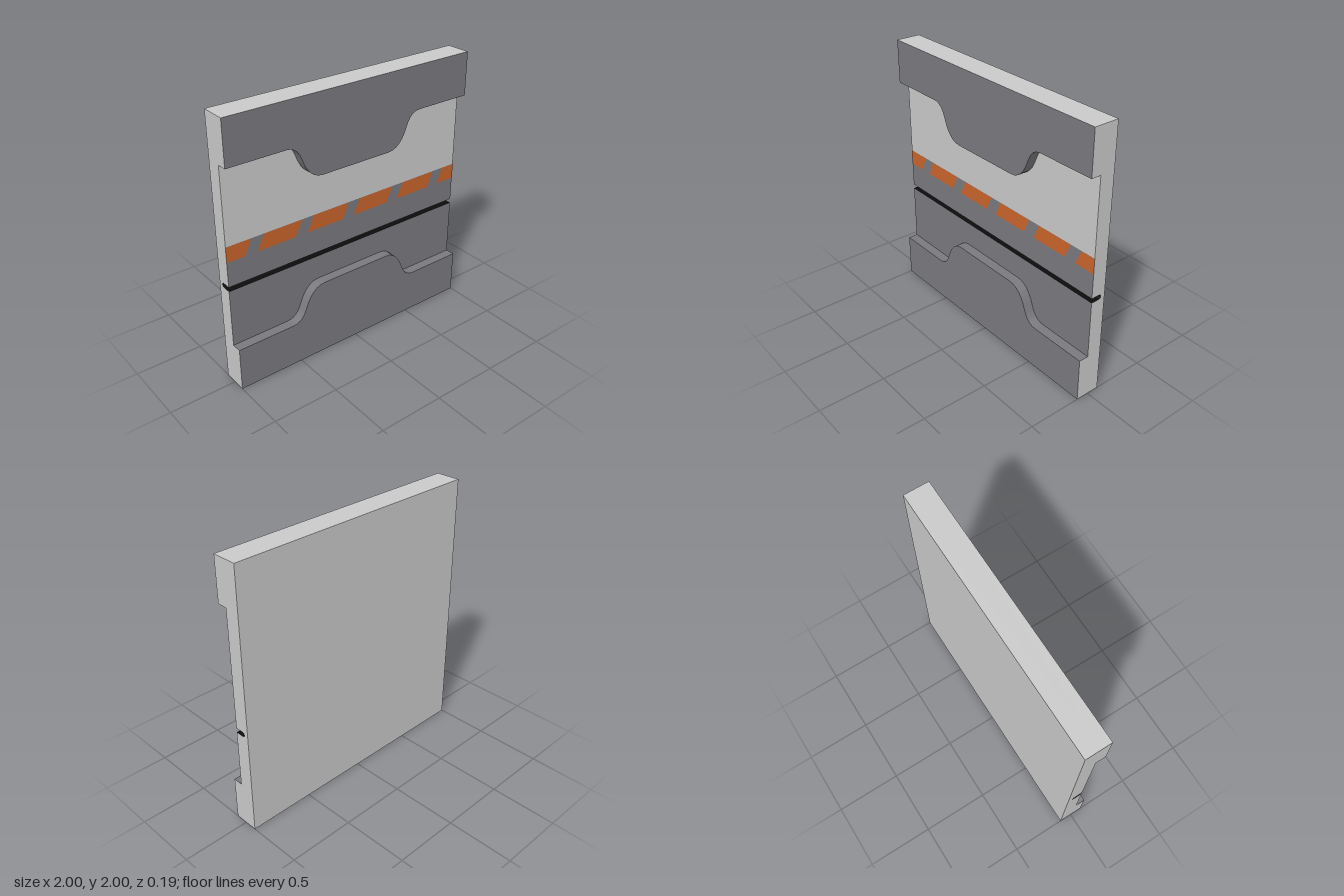
import * as THREE from 'three';

const BACK = -0.094, RECESS = 0.02, FRONT = 0.094;
const BAND_LOW = 0.985, BAND_HIGH = 1.1;
const GROOVE_LOW = 0.765, GROOVE_HIGH = 0.798, GROOVE_END = -0.06;

const mat = (name, color) => Object.assign(new THREE.MeshStandardMaterial({ color }), { name });

// Assigns a material index to each triangle from its centre and normal
function paint(geometry, rule) {
  const g = geometry.index ? geometry.toNonIndexed() : geometry;
  g.clearGroups();
  const p = g.attributes.position;
  const tri = new THREE.Triangle(), c = new THREE.Vector3(), n = new THREE.Vector3();
  for (let i = 0; i < p.count; i += 3) {
    tri.setFromAttributeAndIndices(p, i, i + 1, i + 2);
    tri.getMidpoint(c);
    tri.getNormal(n);
    g.addGroup(i, 3, rule(c, n));
  }
  return g;
}

// Side profile with the rounded slot, extruded across the width
function panelGeometry() {
  const s = new THREE.Shape();
  const r = (GROOVE_HIGH - GROOVE_LOW) / 2;
  s.moveTo(BACK, 0);
  s.lineTo(RECESS, 0);
  s.lineTo(RECESS, GROOVE_LOW);
  s.lineTo(GROOVE_END + r, GROOVE_LOW);
  s.absarc(GROOVE_END + r, GROOVE_LOW + r, r, -Math.PI / 2, Math.PI / 2, true);
  s.lineTo(RECESS, GROOVE_HIGH);
  s.lineTo(RECESS, BAND_HIGH);
  s.lineTo(RECESS, 2);
  s.lineTo(BACK, 2);
  s.closePath();
  const g = new THREE.ExtrudeGeometry(s, { depth: 2, bevelEnabled: false, curveSegments: 8 });
  g.rotateY(-Math.PI / 2).translate(1, 0, 0);
  return paint(g, (c, n) => {
    if (Math.abs(n.x) > 0.9) return 0;
    if (c.y > GROOVE_LOW - 0.001 && c.y < GROOVE_HIGH + 0.001) return 2;
    return n.z > 0.9 && c.y < BAND_HIGH ? 1 : 0;
  });
}

// Raised slab with a curved tongue; flip maps the upper outline to the lower one
function ledgeGeometry(flip) {
  const edge = flip ? 0 : 2;
  const Y = y => (flip ? 2.005 - y : y);
  const s = new THREE.Shape();
  s.moveTo(-1, edge);
  s.lineTo(-1, Y(1.675));
  s.lineTo(-0.56, Y(1.675));
  s.bezierCurveTo(-0.50, Y(1.675), -0.47, Y(1.64), -0.447, Y(1.585));
  s.bezierCurveTo(-0.41, Y(1.48), -0.36, Y(1.423), -0.28, Y(1.423));
  s.lineTo(0.28, Y(1.423));
  s.bezierCurveTo(0.36, Y(1.423), 0.41, Y(1.48), 0.447, Y(1.585));
  s.bezierCurveTo(0.47, Y(1.64), 0.50, Y(1.675), 0.56, Y(1.675));
  s.lineTo(1, Y(1.675));
  s.lineTo(1, edge);
  s.closePath();
  const g = new THREE.ExtrudeGeometry(s, { depth: FRONT - RECESS, bevelEnabled: false, curveSegments: 6 });
  g.translate(0, 0, RECESS);
  return paint(g, c => (Math.abs(c.x) > 0.999 || Math.abs(c.y - edge) < 0.001 ? 0 : 1));
}

export function createModel() {
  const light = mat('lightGrey', 0xc9c9c9);
  const dark = mat('darkGrey', 0x7a797e);
  const black = mat('black', 0x0c0c0c);
  const orange = mat('orange', 0xc9642b);

  const model = new THREE.Group();
  model.name = 'wallPanel';
  const add = (name, geometry, material, parent = model) => {
    const m = new THREE.Mesh(geometry, material);
    m.name = name;
    parent.add(m);
  };

  add('panel', panelGeometry(), [light, dark, black]);
  add('upperLedge', ledgeGeometry(false), [light, dark]);
  add('lowerLedge', ledgeGeometry(true), [light, dark]);

  // Slanted dashes of the stripe, clipped at both ends of the panel
  const stripe = new THREE.Group();
  stripe.name = 'stripe';
  for (let i = 0; i < 6; i++) {
    const x0 = -1.165 + i * 0.4, x1 = x0 + 0.302, lean = 0.052;
    const clip = x => Math.min(1, Math.max(-1, x));
    const s = new THREE.Shape([
      [clip(x0), BAND_LOW], [clip(x1), BAND_LOW],
      [clip(x1 + lean), BAND_HIGH], [i === 0 ? -1 : clip(x0 + lean), BAND_HIGH],
    ].map(([x, y]) => new THREE.Vector2(x, y)));
    add('dash', new THREE.ShapeGeometry(s).translate(0, 0, RECESS + 0.002), orange, stripe);
  }
  model.add(stripe);
  return model;
}
